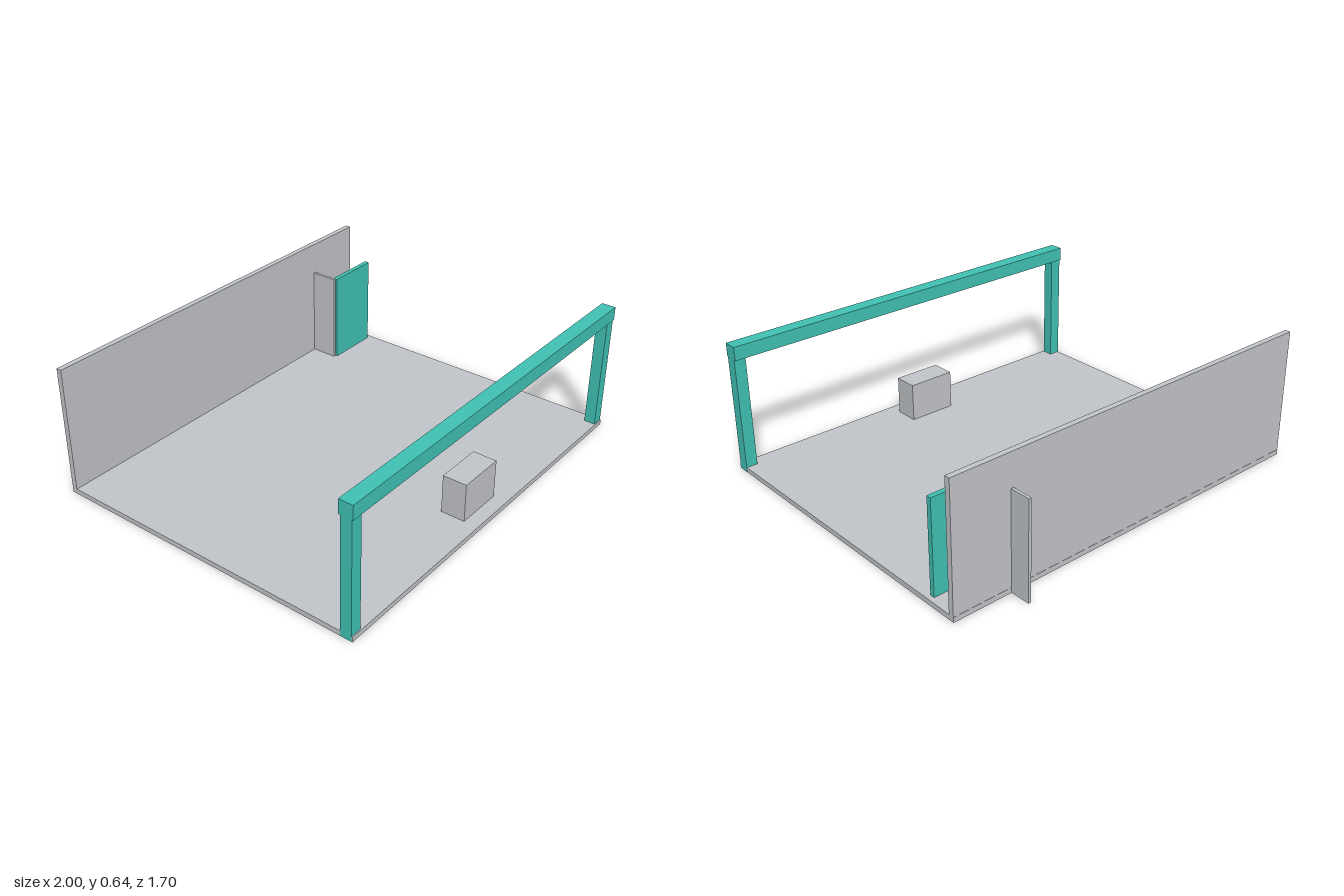
import * as THREE from 'three';

export function createModel() {
  const model = new THREE.Group();
  model.name = 'openBooth';

  const grey = new THREE.MeshStandardMaterial({ color: 0xc1c4c9 });
  grey.name = 'light grey';
  const teal = new THREE.MeshStandardMaterial({ color: 0x40c1b3 });
  teal.name = 'teal';

  // Box given by its lower and upper limits on each axis
  function block(name, material, [x0, x1], [y0, y1], [z0, z1]) {
    const mesh = new THREE.Mesh(new THREE.BoxGeometry(x1 - x0, y1 - y0, z1 - z0), material);
    mesh.position.set((x0 + x1) / 2, (y0 + y1) / 2, (z0 + z1) / 2);
    mesh.name = name;
    model.add(mesh);
  }

  // Floor and back wall, a hair narrower than the frame so faces do not coincide
  block('floor', grey, [-0.999, 0.999], [0, 0.025], [-0.75, 0.85]);
  block('backWall', grey, [-0.999, 0.999], [0.001, 0.64], [-0.749, -0.722]);

  // Front frame: two posts carrying a wider beam
  block('leftPost', teal, [0.943, 1], [0.001, 0.576], [0.79, 0.845]);
  block('rightPost', teal, [-1, -0.943], [0.001, 0.576], [0.79, 0.845]);
  block('frontBeam', teal, [-1, 1], [0.576, 0.643], [0.781, 0.85]);

  // Counter by the entrance
  block('counter', grey, [-0.12, 0.12], [0.025, 0.215], [0.66, 0.78]);

  // Closet in the corner: a divider running through the back wall, and a door
  block('closetDivider', grey, [0.69, 0.704], [0.001, 0.48], [-0.85, -0.587]);
  block('closetDoor', teal, [0.704, 0.975], [0.001, 0.48], [-0.6, -0.576]);

  return model;
}
